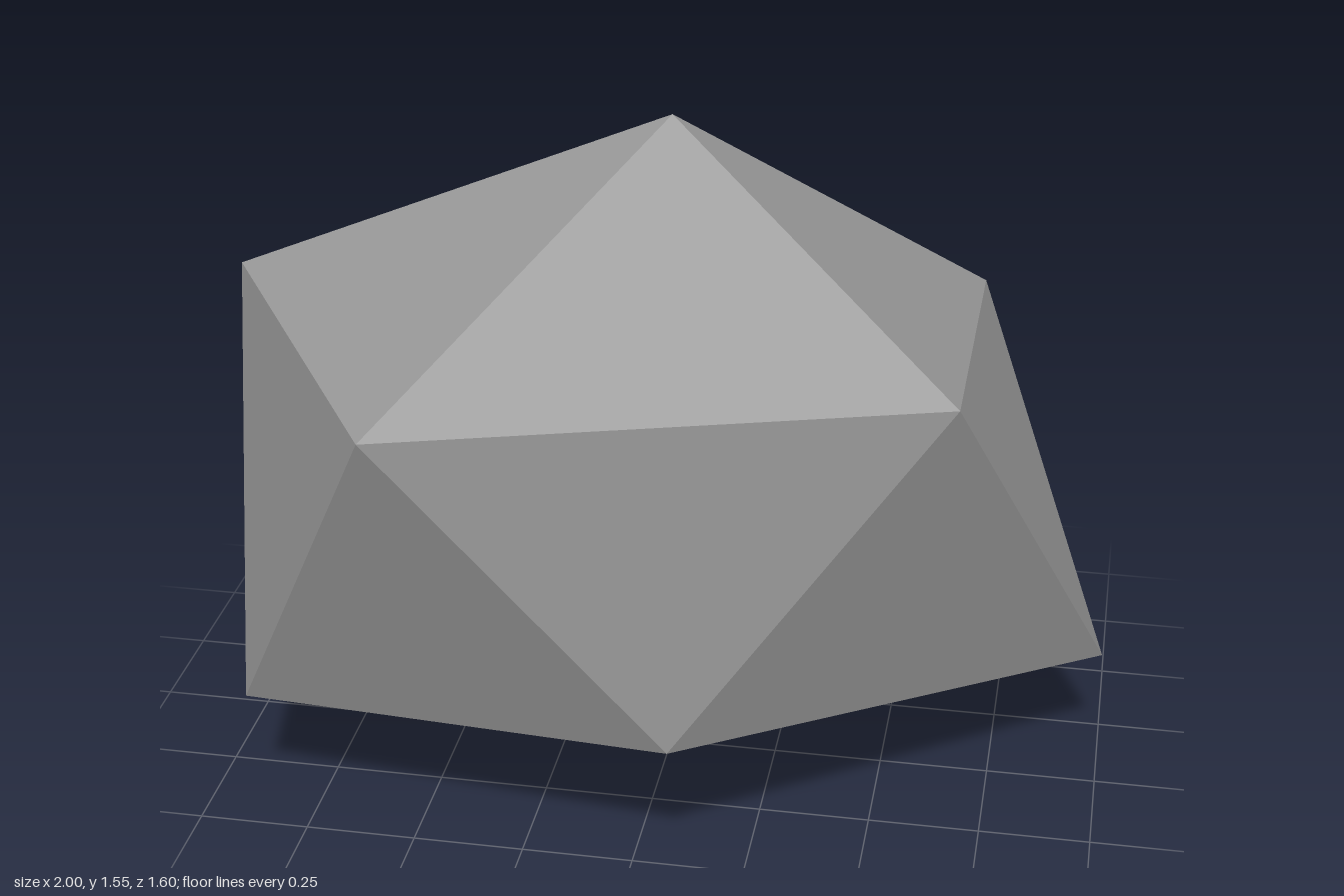
import * as THREE from 'three';

// Faceted solid: apex, upper ring of five, lower ring of five, base point.
function boulderGeometry() {
  const apex = [-0.01, 1.55, -0.07];
  const base = [-0.01, 0, -0.07];
  const upper = [[-1, 1.14, -0.05], [-0.49, 1.14, 0.8], [0.67, 1.135, 0.43], [0.66, 1.035, -0.49], [-0.13, 1.07, -0.79]];
  const lower = [[-0.885, 0.31, 0.46], [0.1, 0.37, 0.62], [0.995, 0.285, -0.095], [0.38, 0.36, -0.8], [-0.56, 0.385, -0.48]];
  const points = [];
  for (let i = 0; i < 5; i++) {
    const j = (i + 1) % 5;
    points.push(apex, upper[i], upper[j]);      // cap
    points.push(upper[i], lower[i], upper[j]);  // band, pointing down
    points.push(lower[i], lower[j], upper[j]);  // band, pointing up
    points.push(base, lower[j], lower[i]);      // underside
  }
  const geometry = new THREE.BufferGeometry();
  geometry.setAttribute('position', new THREE.Float32BufferAttribute(points.flat(), 3));
  geometry.computeVertexNormals(); // unshared corners give flat facets
  return geometry;
}

export function createModel() {
  const group = new THREE.Group();
  group.name = 'rock';
  const stone = new THREE.MeshStandardMaterial({ color: 0x999999 });
  stone.name = 'stone grey';

  const boulder = new THREE.Mesh(boulderGeometry(), stone);
  boulder.name = 'boulder';
  group.add(boulder);

  // Tiny chip poking out of the upper back facet
  const chip = new THREE.Mesh(new THREE.IcosahedronGeometry(0.02, 0), stone);
  chip.name = 'chip';
  chip.scale.set(1.1, 0.8, 0.8);
  chip.position.set(0.3, 1.1, -0.55);
  group.add(chip);

  return group;
}
